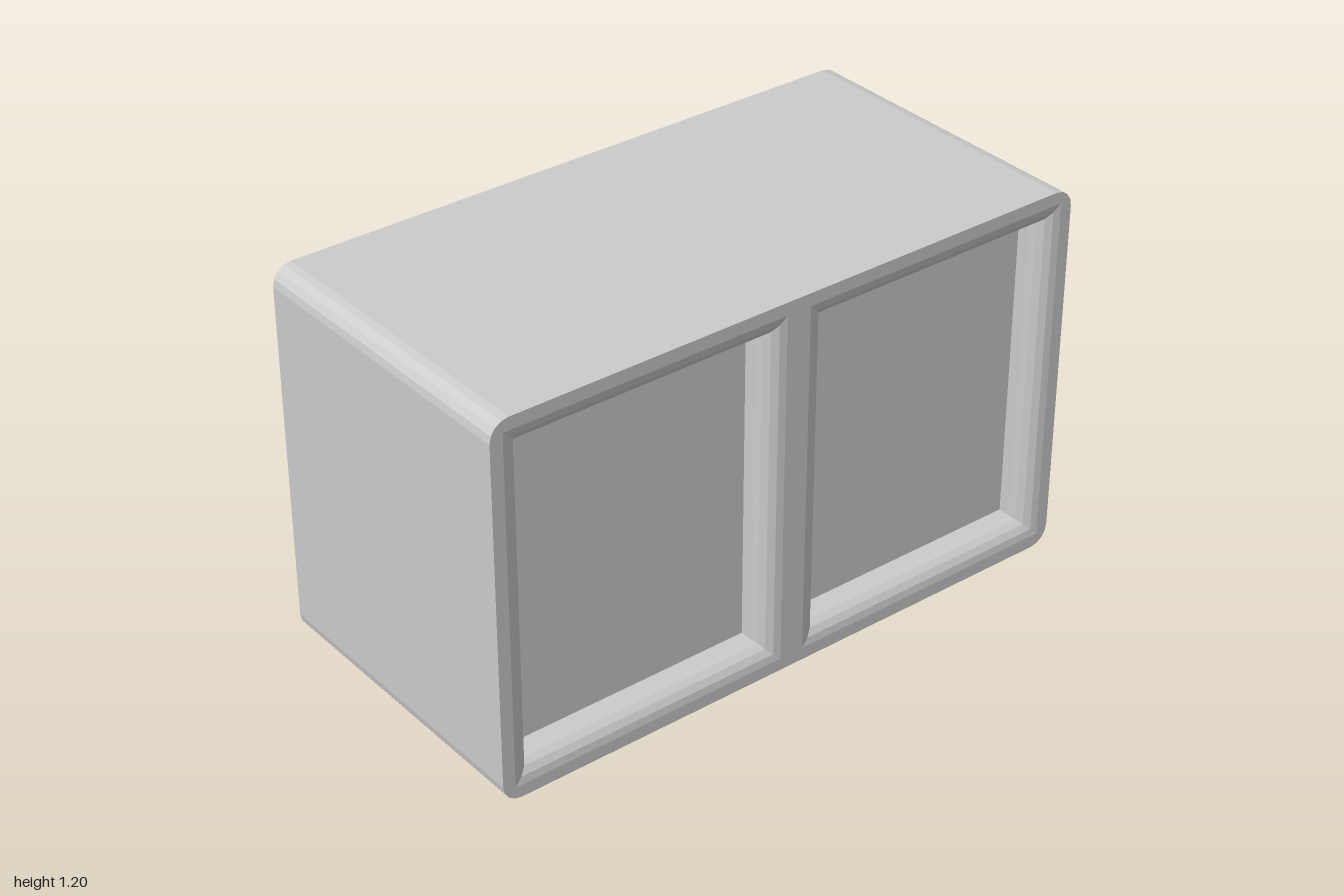
import * as THREE from 'three';

const W = 2, H = 1.2, FRONT = 0.5, BACK = -0.5;
const R = 0.06, STEPS = 4;        // edge rounding and its facets
const RECESS = 0.1;               // depth of the two front panels

// Counter-clockwise outline of the cabinet with rounded corners
function cabinetOutline() {
  const pts = [];
  const corners = [[1, 1], [-1, 1], [-1, -1], [1, -1]];
  corners.forEach(([sx, sy], c) => {
    for (let i = 0; i <= STEPS; i++) {
      const a = (c + i / STEPS) * Math.PI / 2;
      pts.push(new THREE.Vector2(
        sx * (W / 2 - R) + R * Math.cos(a),
        H / 2 + sy * (H / 2 - R) + R * Math.sin(a)));
    }
  });
  return pts;
}

// Counter-clockwise rectangle
function rectangle(x0, x1, y0, y1) {
  return [[x0, y0], [x1, y0], [x1, y1], [x0, y1]].map(([x, y]) => new THREE.Vector2(x, y));
}

// Flat-shaded skin over closed loops, each { pts, z }
function skin(loops) {
  const pos = [];
  for (let k = 0; k < loops.length - 1; k++) {
    const a = loops[k], b = loops[k + 1], n = a.pts.length;
    for (let i = 0; i < n; i++) {
      const j = (i + 1) % n;
      const corner = (l, m) => [l.pts[m].x, l.pts[m].y, l.z];
      const [p, q, r, s] = [corner(a, i), corner(a, j), corner(b, j), corner(b, i)];
      pos.push(...p, ...q, ...r, ...p, ...r, ...s);
    }
  }
  const geo = new THREE.BufferGeometry();
  geo.setAttribute('position', new THREE.Float32BufferAttribute(pos, 3));
  geo.computeVertexNormals();
  return geo;
}

export function createModel() {
  const group = new THREE.Group();
  const material = new THREE.MeshStandardMaterial({ color: 0xcccccc, flatShading: true });
  const add = (name, geometry) => {
    const mesh = new THREE.Mesh(geometry, material);
    mesh.name = name;
    group.add(mesh);
    return mesh;
  };

  // Outer shell: sides, top and bottom
  const outline = cabinetOutline();
  add('shell', skin([{ pts: outline, z: BACK }, { pts: outline, z: FRONT }]));

  // Back board
  const back = add('backBoard', new THREE.ShapeGeometry(new THREE.Shape(outline)));
  back.rotation.y = Math.PI;
  back.position.z = BACK;

  // Front frame with two openings, each with a rounded moulding and a sunk panel
  const frame = new THREE.Shape(outline);
  for (const side of [-1, 1]) {
    const cx = side * 0.5, cy = H / 2, hw = 0.4, hh = 0.5;
    const grown = g => rectangle(cx - hw - g, cx + hw + g, cy - hh - g, cy + hh + g);
    frame.holes.push(new THREE.Path(grown(R).reverse()));

    const loops = [];
    for (let i = 0; i <= STEPS; i++) {
      const a = i / STEPS * Math.PI / 2;
      loops.push({ pts: grown(R * (1 - Math.sin(a))), z: FRONT - R * (1 - Math.cos(a)) });
    }
    loops.push({ pts: grown(0), z: FRONT - RECESS });
    const label = side > 0 ? 'left' : 'right';
    add(label + 'Moulding', skin(loops));

    const panel = add(label + 'Panel', new THREE.PlaneGeometry(hw * 2, hh * 2));
    panel.position.set(cx, cy, FRONT - RECESS);
  }
  add('frontFrame', new THREE.ShapeGeometry(frame)).position.z = FRONT;

  return group;
}
